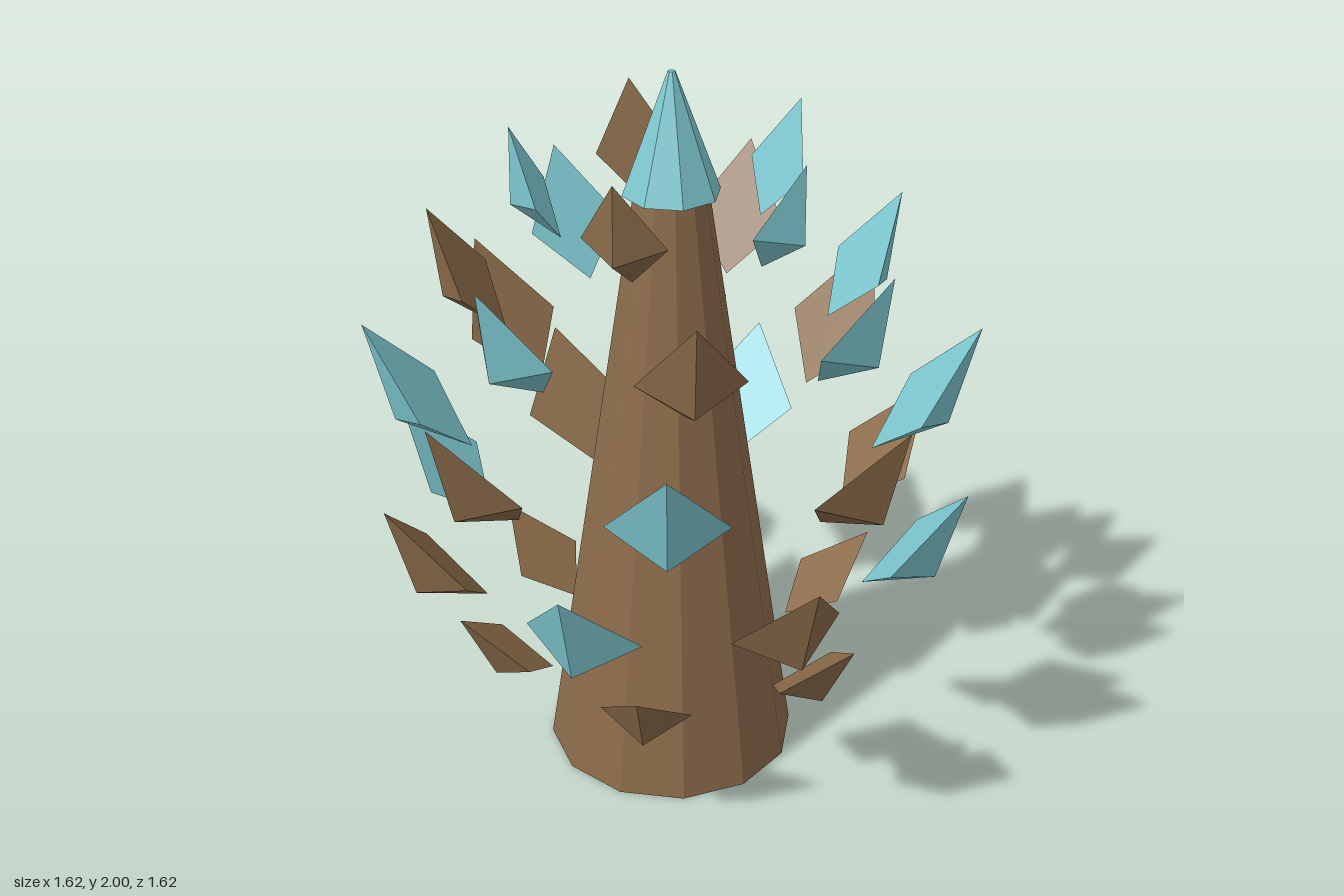
import * as THREE from 'three';

const brown = new THREE.MeshStandardMaterial({ color: 0x8b6b4a });
const teal = new THREE.MeshStandardMaterial({ color: 0x7ec8d0 });
brown.name = 'barkBrown';
teal.name = 'frostTeal';

// Kite-shaped scale with a raised outer point, facing +z
// tip and base are [radius, height] pairs
function scaleGeometry(tip, base, halfWidth) {
  const t = 0.59; // where the widest line crosses the kite
  const mr = tip[0] + (base[0] - tip[0]) * t;
  const my = tip[1] + (base[1] - tip[1]) * t;
  const dr = tip[0] - base[0], dy = tip[1] - base[1];
  const d = 0.74 * halfWidth / Math.hypot(dr, dy);
  const top = [0, tip[1], tip[0]];
  const bottom = [0, base[1], base[0]];
  const left = [-halfWidth, my, mr];
  const right = [halfWidth, my, mr];
  const point = [0, my - dr * d, mr + dy * d];
  const faces = [
    top, left, point, left, bottom, point,
    bottom, right, point, right, top, point,
    top, right, bottom, top, bottom, left,
  ];
  const g = new THREE.BufferGeometry();
  g.setAttribute('position', new THREE.Float32BufferAttribute(faces.flat(), 3));
  g.computeVertexNormals();
  return g;
}

function flat(geometry) {
  const g = geometry.toNonIndexed();
  g.computeVertexNormals();
  return g;
}

export function createModel() {
  const model = new THREE.Group();
  model.name = 'scaledSpire';

  // Tapered trunk
  const trunk = new THREE.Mesh(flat(new THREE.CylinderGeometry(0.095, 0.35, 1.7, 12)), brown);
  trunk.name = 'trunk';
  trunk.position.y = 0.85;
  model.add(trunk);

  // Crystal tip
  const cap = new THREE.Mesh(flat(new THREE.CylinderGeometry(0.01, 0.13, 0.32, 8)), teal);
  cap.name = 'crystalTip';
  cap.position.y = 1.84;
  cap.rotation.y = Math.PI / 8;
  model.add(cap);

  // Rings of floating scales, colours alternating from the first angle
  const rings = [
    { count: 6, start: 166, tip: [0.62, 0.52], base: [0.36, 0.30], width: 0.123, colors: [brown, brown] },
    { count: 8, start: 170, tip: [0.82, 0.94], base: [0.55, 0.615], width: 0.155, colors: [brown, teal] },
    { count: 8, start: 188.5, tip: [0.82, 1.30], base: [0.545, 0.935], width: 0.155, colors: [brown, teal] },
    { count: 7, start: 162.3, tip: [0.645, 1.60], base: [0.445, 1.265], width: 0.138, colors: [teal, brown] },
    { count: 5, start: 178.5, tip: [0.41, 1.85], base: [0.285, 1.55], width: 0.113, colors: [teal, brown] },
  ];
  rings.forEach((ring, r) => {
    const group = new THREE.Group();
    group.name = 'scaleRing' + (r + 1);
    const geometry = scaleGeometry(ring.tip, ring.base, ring.width);
    for (let i = 0; i < ring.count; i++) {
      const scale = new THREE.Mesh(geometry, ring.colors[i % 2]);
      scale.name = 'scale';
      scale.rotation.y = THREE.MathUtils.degToRad(ring.start + (360 / ring.count) * i);
      group.add(scale);
    }
    model.add(group);
  });

  return model;
}
